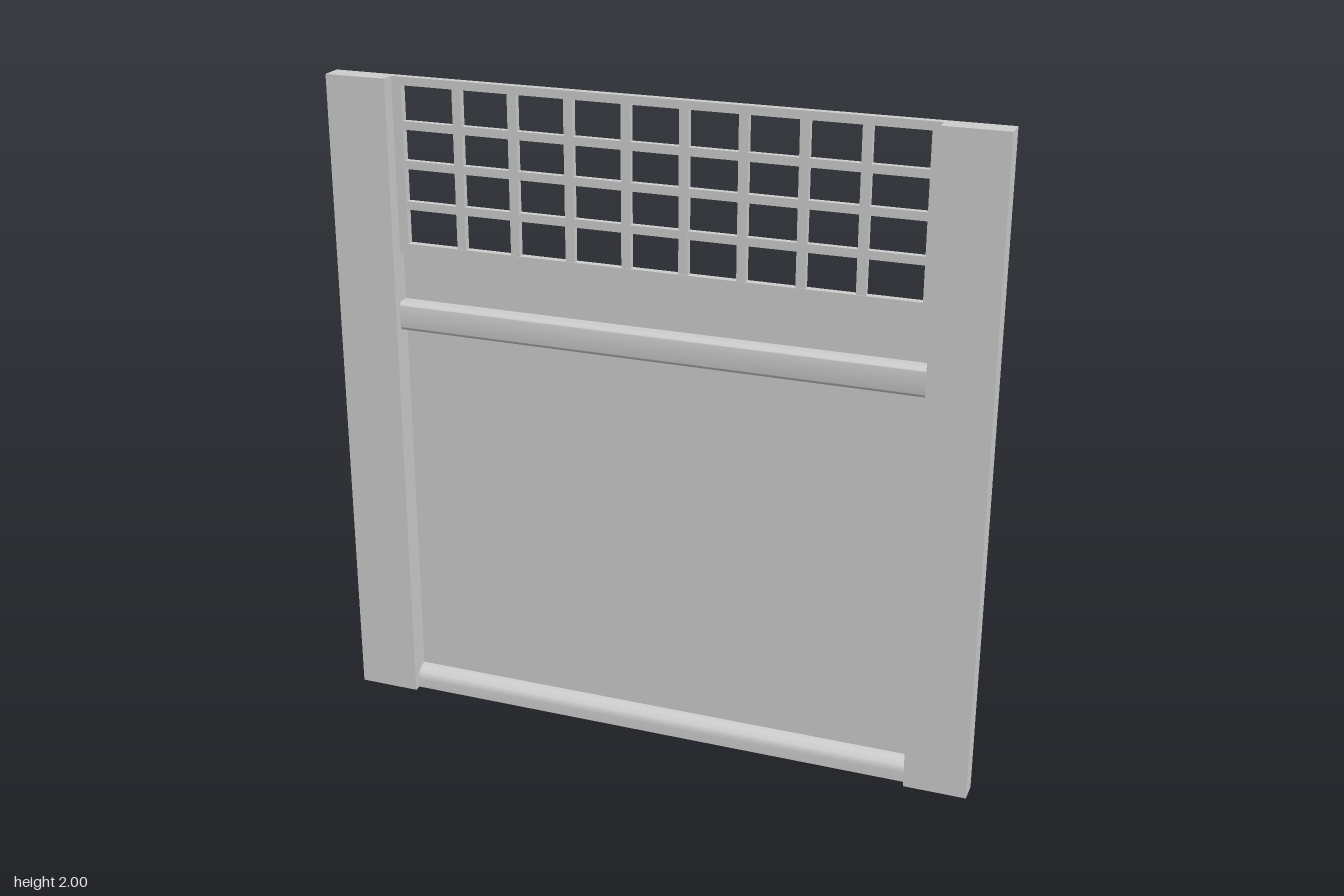
import * as THREE from 'three';
import { toCreasedNormals } from 'three/addons/utils/BufferGeometryUtils.js';

const BACK = -0.033, FRONT = 0.033; // depth of the posts
const INNER = 0.81;                 // half width between the posts
const material = new THREE.MeshStandardMaterial({ color: 0xcccccc, side: THREE.DoubleSide });

function add(group, name, geometry, x = 0, y = 0, z = 0) {
  const mesh = new THREE.Mesh(geometry, material);
  mesh.name = name;
  mesh.position.set(x, y, z);
  group.add(mesh);
  return mesh;
}

// Thin sheet: a list of points swept between two ends; place(p, t) gives the 3D position.
function sheet(points, from, to, place) {
  const pos = [];
  for (let i = 0; i < points.length - 1; i++) {
    const a = place(points[i], from), b = place(points[i], to);
    const c = place(points[i + 1], to), d = place(points[i + 1], from);
    pos.push(...a, ...b, ...c, ...a, ...c, ...d);
  }
  const g = new THREE.BufferGeometry();
  g.setAttribute('position', new THREE.Float32BufferAttribute(pos, 3));
  return toCreasedNormals(g, 0.6);
}
const alongX = (points, x0, x1) => sheet(points, x0, x1, ([z, y], x) => [x, y, z]);
const alongY = (points, y0, y1) => sheet(points, y0, y1, ([x, z], y) => [x, y, z]);

// Elliptical arc in the z-y profile plane
function arc(cz, cy, rz, ry, a0, a1, n = 8) {
  return Array.from({ length: n + 1 }, (_, i) => {
    const a = a0 + (a1 - a0) * i / n;
    return [cz + rz * Math.cos(a), cy + ry * Math.sin(a)];
  });
}

export function createModel() {
  const model = new THREE.Group();
  model.name = 'wallPanel';
  const H = Math.PI / 2;

  // Side posts: shells open at the back, closed at top and bottom
  for (const s of [1, -1]) {
    const post = new THREE.Group();
    post.name = s > 0 ? 'leftPost' : 'rightPost';
    const path = [[INNER, BACK], [INNER, FRONT], [1, FRONT], [1, BACK]].map(([x, z]) => [s * x, z]);
    // reverse sweep on the outer walls' facing so normals point outwards
    add(post, 'postWalls', s > 0 ? alongY(path, 2, 0) : alongY(path, 0, 2));
    const cap = (INNER + 1) / 2 * s;
    add(post, 'postTop', new THREE.PlaneGeometry(1 - INNER, FRONT - BACK).rotateX(-H), cap, 2, 0);
    add(post, 'postBottom', new THREE.PlaneGeometry(1 - INNER, FRONT - BACK).rotateX(H), cap, 0, 0);
    model.add(post);
  }

  // Main panel: skirting, flat field, rail moulding, band and sill in one profile
  const profile = [
    [BACK, 0], [0.01, 0],
    ...arc(BACK, 0.03, 0.01 - BACK, 0.04, 0, H),
    [BACK, 1.23],
    ...arc(-0.005, 1.245, 0.015, 0.015, -H, 0),
    ...arc(-0.005, 1.305, 0.015, 0.015, 0, H),
    [BACK, 1.32], [BACK, 1.47],
    [-0.01, 1.47], [-0.01, 1.5], [BACK, 1.5],
  ];
  add(model, 'panel', alongX(profile, -INNER, INNER));

  // Window frame: head and two jambs
  add(model, 'windowHead', alongX([[BACK, 1.975], [-0.01, 1.975], [-0.01, 2], [BACK, 2]], -INNER, INNER));
  for (const s of [1, -1]) {
    const jamb = [[s * INNER, -0.01], [s * 0.78, -0.01], [s * 0.78, BACK]];
    add(model, 'windowJamb', s > 0 ? alongY(jamb, 1.5, 1.975) : alongY(jamb, 1.975, 1.5));
  }

  // Lattice bars
  const lattice = new THREE.Group();
  lattice.name = 'lattice';
  for (let i = 0; i < 8; i++) {
    add(lattice, 'uprightBar', new THREE.BoxGeometry(0.028, 0.475, 0.02), (i - 3.5) * 0.173, 1.7375, -0.022);
  }
  for (const y of [1.617, 1.74, 1.857]) {
    add(lattice, 'crossBar', new THREE.BoxGeometry(1.56, 0.025, 0.019), 0, y, -0.022);
  }
  model.add(lattice);
  return model;
}
